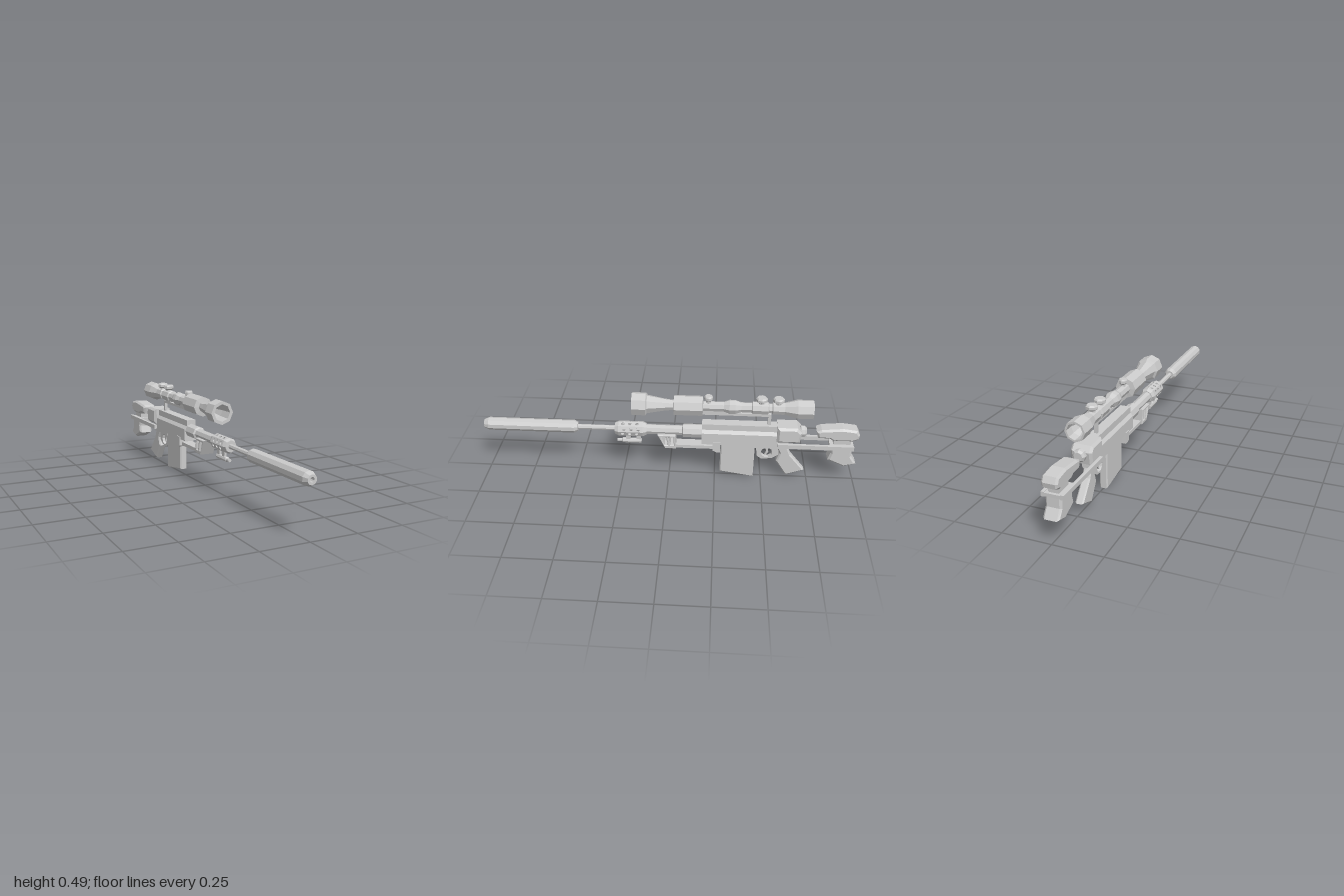
import * as THREE from 'three';

const mat = new THREE.MeshStandardMaterial({ color: 0xcccccc, flatShading: true, side: THREE.DoubleSide });

export function createModel() {
  const root = new THREE.Group();
  const add = (name, geo, parent = root) => {
    const mesh = new THREE.Mesh(geo, mat);
    mesh.name = name;
    parent.add(mesh);
    return mesh;
  };
  const pts = (list) => list.map(([a, b]) => new THREE.Vector2(a, b));

  // Turned part along z; profile is [radius, z] with z ascending
  const turned = (name, profile, y, parent, sides = 8) =>
    add(name, new THREE.LatheGeometry(pts(profile), sides).rotateX(Math.PI / 2).translate(0, y, 0), parent);

  // Side outline [z, y] extruded to a full width in x, with chamfered edges
  const slab = (name, outline, width, bevel = 0, holes = [], parent = root, x = 0) => {
    const shape = new THREE.Shape(pts(outline));
    holes.forEach((h) => shape.holes.push(new THREE.Path(pts(h))));
    const depth = width - 2 * bevel;
    const geo = new THREE.ExtrudeGeometry(shape, {
      depth, bevelEnabled: bevel > 0, bevelThickness: bevel, bevelSize: bevel, bevelOffset: -bevel, bevelSegments: 1,
    });
    return add(name, geo.translate(0, 0, -depth / 2).rotateY(-Math.PI / 2).translate(x, 0, 0), parent);
  };
  const box = (name, w, y0, y1, z0, z1, x = 0, parent = root) =>
    add(name, new THREE.BoxGeometry(w, y1 - y0, z1 - z0).translate(x, (y0 + y1) / 2, (z0 + z1) / 2), parent);
  const circle = (cx, cy, r, n) => Array.from({ length: n }, (_, i) => {
    const a = (i / n) * Math.PI * 2;
    return [cx + r * Math.cos(a), cy + r * Math.sin(a)];
  });

  // Barrel and suppressor
  const BY = 0.275;
  turned('suppressor', [[0, 0.49], [0.024, 0.49], [0.035, 0.51], [0.035, 0.975], [0.024, 1], [0.012, 1], [0.012, 0.95], [0, 0.95]], BY, root, 10);
  turned('barrel', [[0.014, -0.02], [0.014, 0.5]], BY);
  turned('barrelSleeve', [[0.037, -0.18], [0.037, -0.075], [0.027, -0.07], [0.027, 0.125], [0.014, 0.125]], BY);

  // Vented shroud: eight panels with rows of holes, closed by tapered collars
  const shroud = new THREE.Group();
  shroud.name = 'ventedShroud';
  root.add(shroud);
  const R = 0.041, half = R * Math.sin(Math.PI / 8), apothem = R * Math.cos(Math.PI / 8);
  for (let i = 0; i < 8; i++) {
    const shape = new THREE.Shape(pts([[-half, 0.14], [half, 0.14], [half, 0.27], [-half, 0.27]]));
    for (let k = 0; k < 3; k++) {
      const z = 0.163 + k * 0.038 + (i % 2) * 0.008;
      shape.holes.push(new THREE.Path(pts(circle(0, z, 0.0095, 8))));
    }
    const geo = new THREE.ExtrudeGeometry(shape, { depth: 0.006, bevelEnabled: false });
    geo.rotateX(Math.PI / 2).translate(0, apothem, 0).rotateZ((i + 0.5) * Math.PI / 4).translate(0, BY, 0);
    add('shroudPanel', geo, shroud);
  }
  turned('shroudRearCollar', [[0.02, 0.12], [0.032, 0.12], [R, 0.14]], BY, shroud);
  turned('shroudFrontCollar', [[R, 0.27], [0.032, 0.29], [0.013, 0.29]], BY, shroud);

  // Aiming light hung below the shroud
  turned('aimingLight', [[0, 0.15], [0.014, 0.15], [0.014, 0.25], [0.009, 0.255], [0.009, 0.28], [0, 0.28]], 0.2);
  for (const z of [0.165, 0.22]) box('lightBracket', 0.014, 0.2, 0.24, z - 0.012, z + 0.012);

  // Handguard with slots, lower rail and rear bracket
  slab('handguard', [[0.06, 0.262], [-0.035, 0.262], [-0.04, 0.18], [0.02, 0.18]], 0.08, 0.003, [
    [[0.04, 0.25], [0.014, 0.25], [0.005, 0.2], [0.022, 0.2]],
    [[0.002, 0.25], [-0.024, 0.25], [-0.028, 0.2], [-0.009, 0.2]],
  ]);
  box('lowerRail', 0.06, 0.182, 0.2, -0.25, -0.03);
  slab('railBracket', [[-0.235, 0.23], [-0.275, 0.23], [-0.275, 0.17], [-0.255, 0.17], [-0.235, 0.18]], 0.088);

  // Receiver: stepped cross-section in x, y run along z
  const side = [[0.04, 0.217], [0.04, 0.283], [0.027, 0.3], [0.027, 0.333]];
  const section = new THREE.Shape(pts([...side, ...side.map(([x, y]) => [-x, y]).reverse()]));
  add('receiver', new THREE.ExtrudeGeometry(section, { depth: 0.4, bevelEnabled: false }).translate(0, 0, -0.575));
  slab('rearBlock', [[-0.57, 0.337], [-0.675, 0.337], [-0.7, 0.31], [-0.69, 0.248], [-0.57, 0.248]], 0.108, 0.012);
  turned('rearKnob', [[0, -0.725], [0.022, -0.725], [0.032, -0.715], [0.032, -0.695], [0.02, -0.685]], 0.296);
  box('lowerReceiver', 0.05, 0.195, 0.25, -0.635, -0.45);

  // Magazine, grip and trigger
  slab('magazine', [[-0.277, 0.225], [-0.46, 0.225], [-0.46, 0.002], [-0.277, 0.03]], 0.042, 0.006);
  slab('grip', [[-0.572, 0.21], [-0.63, 0.21], [-0.652, 0.155], [-0.732, 0.058], [-0.635, 0.022], [-0.578, 0.11], [-0.595, 0.16]], 0.042, 0.007);
  slab('triggerGuard', [[-0.465, 0.2], [-0.585, 0.2], [-0.59, 0.15], [-0.555, 0.125], [-0.5, 0.118], [-0.475, 0.135]], 0.024, 0,
    [circle(-0.525, 0.16, 0.031, 10)]);
  slab('trigger', [[-0.515, 0.195], [-0.53, 0.195], [-0.535, 0.16], [-0.52, 0.138], [-0.513, 0.14], [-0.524, 0.162]], 0.01);

  // Stock: twin rails, cheek rest and butt
  for (const x of [-0.047, 0.047]) box('stockRail', 0.016, 0.217, 0.24, -0.975, -0.575, x);
  box('stockCrossPlate', 0.085, 0.22, 0.237, -0.975, -0.85);
  slab('cheekRest', [[-0.775, 0.315], [-0.8, 0.326], [-0.91, 0.337], [-0.985, 0.328], [-1, 0.3], [-0.995, 0.275],
    [-0.965, 0.263], [-0.865, 0.263], [-0.845, 0.276], [-0.785, 0.276]], 0.08, 0.01);
  box('cheekRestPost', 0.05, 0.23, 0.28, -0.96, -0.87);
  slab('butt', [[-0.855, 0.222], [-0.968, 0.222], [-0.97, 0.17], [-1, 0.122], [-0.935, 0.104], [-0.848, 0.142], [-0.86, 0.185]], 0.08, 0.01);

  // Scope: hollow turned tube, outside first and then back through the bore
  const scope = new THREE.Group();
  scope.name = 'scope';
  root.add(scope);
  const SY = 0.43;
  turned('scopeTube', [
    [0.041, -0.748], [0.051, -0.748], [0.051, -0.665], [0.033, -0.6], [0.033, -0.54], [0.026, -0.535], [0.026, -0.52],
    [0.034, -0.515], [0.034, -0.435], [0.027, -0.43], [0.027, -0.375], [0.038, -0.345], [0.038, -0.315], [0.027, -0.285],
    [0.027, -0.178], [0.054, -0.175], [0.054, -0.025], [0.027, -0.022], [0.034, 0.03], [0.05, 0.115], [0.062, 0.122],
    [0.062, 0.195], [0.045, 0.195], [0.041, 0.12], [0.02, 0], [0.02, -0.64], [0.041, -0.7], [0.041, -0.748],
  ], SY, scope);
  for (const [z, r] of [[-0.205, 0.023], [-0.48, 0.03], [-0.567, 0.03]]) {
    const turret = new THREE.LatheGeometry(pts([
      [r * 0.6, 0.43], [r * 0.6, 0.464], [r, 0.472], [r, 0.485], [r * 0.8, 0.492], [0, 0.492]]), 8);
    add('scopeTurret', turret.translate(0, 0, z), scope);
  }

  // Scope mount
  box('mountBar', 0.016, 0.381, 0.395, -0.535, -0.17);
  box('mountFoot', 0.02, 0.385, 0.41, -0.3, -0.17);
  box('mountPost', 0.016, 0.325, 0.395, -0.535, -0.519);
  box('mountRearFoot', 0.016, 0.385, 0.41, -0.51, -0.45);

  return root;
}
